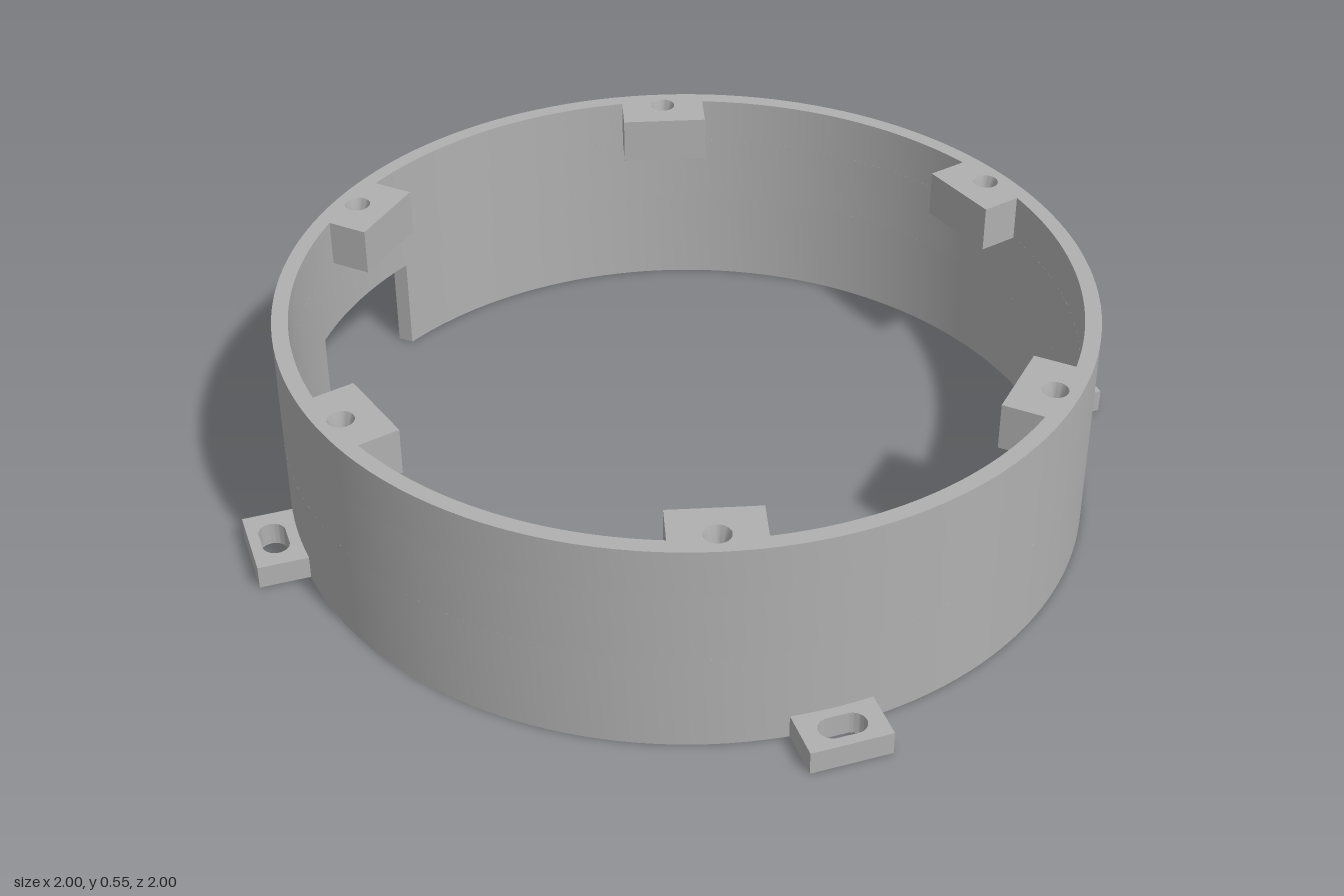
import * as THREE from 'three';
import { toCreasedNormals } from 'three/addons/utils/BufferGeometryUtils.js';

const OUTER = 1, INNER = 0.96, HEIGHT = 0.55;
const NOTCH_TOP = 0.25, NOTCH_HALF = 0.2;
const BLOCK_HEIGHT = 0.12, BLOCK_HALF = 0.11, BLOCK_INNER = 0.85;
const HOLE_RADIUS = 0.032, BORE_RADIUS = 0.021, HOLE_DISTANCE = 0.94;

export function createModel() {
  const model = new THREE.Group();
  const grey = new THREE.MeshStandardMaterial({ color: 0xb0b0b0 });
  grey.name = 'grey';

  const add = (name, geometry, y = 0) => {
    const mesh = new THREE.Mesh(toCreasedNormals(geometry, 0.5), grey);
    mesh.name = name;
    mesh.position.y = y;
    model.add(mesh);
    return mesh;
  };

  // Extrude a plan outline upwards
  const slab = (shape, height, curveSegments) =>
    new THREE.ExtrudeGeometry(shape, { depth: height, bevelEnabled: false, curveSegments })
      .rotateX(-Math.PI / 2);

  const disc = () => new THREE.Shape().absarc(0, 0, OUTER, 0, Math.PI * 2, false);

  // Lower wall, open at the notch on the -x side
  const outerEnd = Math.PI - Math.asin(NOTCH_HALF / OUTER);
  const innerEnd = Math.PI - Math.asin(NOTCH_HALF / INNER);
  const lower = new THREE.Shape();
  lower.absarc(0, 0, OUTER, -outerEnd, outerEnd, false);
  lower.absarc(0, 0, INNER, innerEnd, -innerEnd, true);
  lower.closePath();
  add('lowerWall', slab(lower, NOTCH_TOP, 72));

  // Middle wall, a full ring
  const middle = disc();
  middle.holes.push(new THREE.Path().absarc(0, 0, INNER, 0, Math.PI * 2, true));
  add('middleWall', slab(middle, HEIGHT - BLOCK_HEIGHT - NOTCH_TOP, 72), NOTCH_TOP);

  // Upper wall with six screw blocks on the inside
  const upper = disc();
  const inside = new THREE.Path();
  const blockAngle = Math.asin(BLOCK_HALF / INNER);
  const corner = new THREE.Vector2(), centre = new THREE.Vector2();
  const screwHoles = [];
  for (let i = 0; i < 6; i++) {
    const angle = i * Math.PI / 3;
    for (const side of [-1, 1]) {
      corner.set(BLOCK_INNER, side * BLOCK_HALF).rotateAround(centre, angle);
      if (i === 0 && side === -1) inside.moveTo(corner.x, corner.y);
      else inside.lineTo(corner.x, corner.y);
    }
    inside.absarc(0, 0, INNER, angle + blockAngle, angle + Math.PI / 3 - blockAngle, false);
    const x = HOLE_DISTANCE * Math.cos(angle), y = HOLE_DISTANCE * Math.sin(angle);
    screwHoles.push(new THREE.Path().absarc(x, y, HOLE_RADIUS, 0, Math.PI * 2, true));
  }
  inside.closePath();
  upper.holes.push(inside, ...screwHoles);
  add('upperWallWithScrewBlocks', slab(upper, BLOCK_HEIGHT, 72), HEIGHT - BLOCK_HEIGHT);

  // Countersunk bores lining the screw holes
  const boreProfile = [
    [HOLE_RADIUS, BLOCK_HEIGHT], [BORE_RADIUS, BLOCK_HEIGHT - 0.04], [BORE_RADIUS, 0], [HOLE_RADIUS, 0],
  ].map(([r, y]) => new THREE.Vector2(r, y));
  for (let i = 0; i < 6; i++) {
    const angle = i * Math.PI / 3;
    const bore = add('screwBore', new THREE.LatheGeometry(boreProfile, 36), HEIGHT - BLOCK_HEIGHT);
    bore.position.x = HOLE_DISTANCE * Math.cos(angle);
    bore.position.z = HOLE_DISTANCE * Math.sin(angle);
  }

  // Four slotted mounting tabs around the foot
  const tab = new THREE.Shape();
  tab.moveTo(0.98, -0.1);
  tab.lineTo(1.12, -0.1);
  tab.lineTo(1.12, 0.1);
  tab.lineTo(0.98, 0.1);
  tab.closePath();
  const slot = new THREE.Path();
  slot.absarc(1.06, 0.025, 0.033, 0, Math.PI, false);
  slot.absarc(1.06, -0.025, 0.033, Math.PI, Math.PI * 2, false);
  slot.closePath();
  tab.holes.push(slot);
  for (let i = 0; i < 4; i++) {
    add('mountingTab', slab(tab, 0.06, 16)).rotation.y = Math.PI / 4 + i * Math.PI / 2;
  }

  return model;
}
